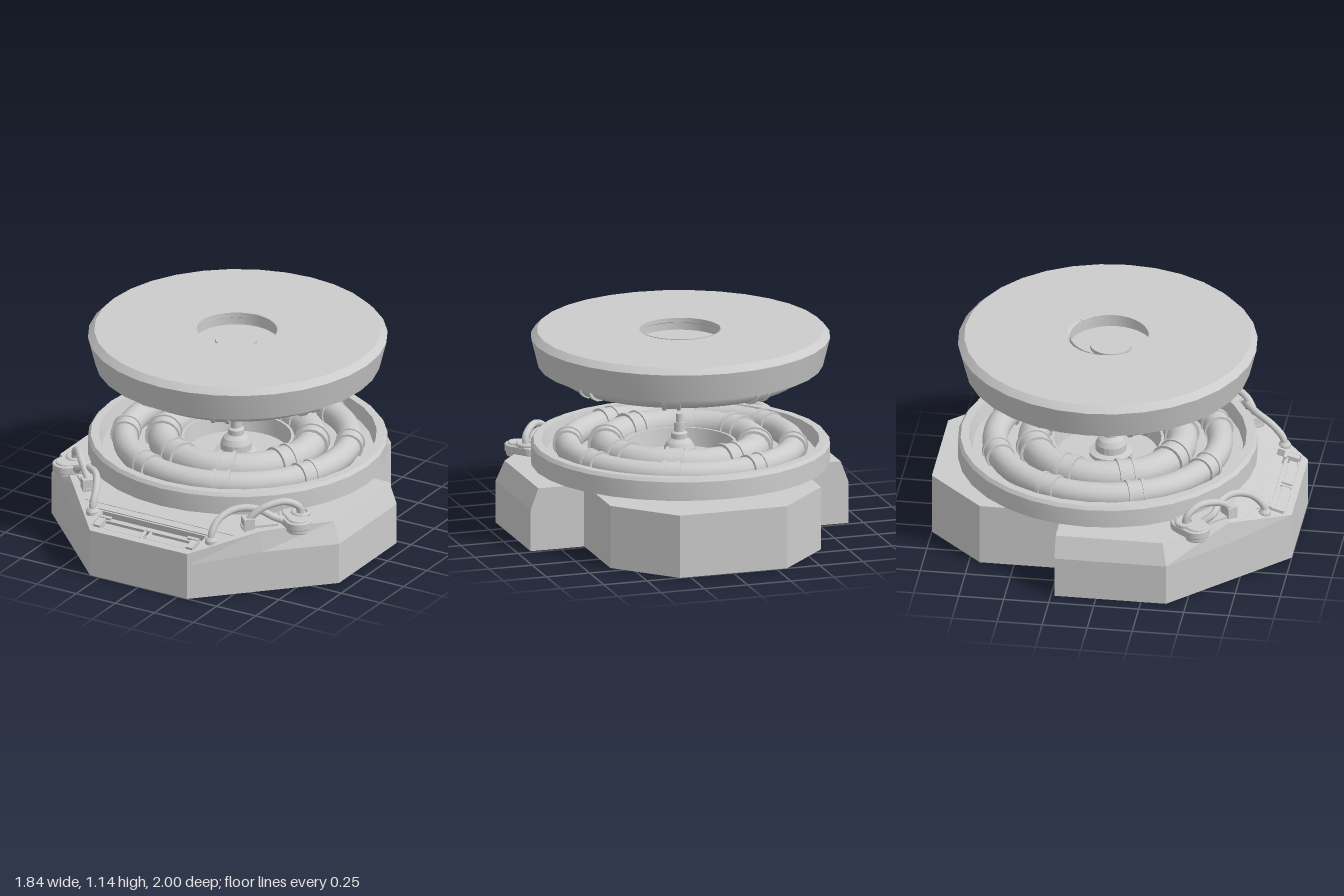
import * as THREE from 'three';
import { toCreasedNormals } from 'three/addons/utils/BufferGeometryUtils.js';

const mat = new THREE.MeshStandardMaterial({ color: 0xcccccc, side: THREE.DoubleSide });
const V = (x, y, z) => new THREE.Vector3(x, y, z);

function add(parent, name, geo, x = 0, y = 0, z = 0) {
  const m = new THREE.Mesh(geo, mat);
  m.name = name;
  m.position.set(x, y, z);
  parent.add(m);
  return m;
}
const group = (parent, name, x = 0, y = 0, z = 0) => {
  const g = new THREE.Group();
  g.name = name;
  g.position.set(x, y, z);
  parent.add(g);
  return g;
};
const lathe = (pts, seg = 32) => toCreasedNormals(
  new THREE.LatheGeometry(pts.map(p => new THREE.Vector2(p[0], p[1])), seg), 0.3);
const cyl = (r0, r1, h, seg = 24) => new THREE.CylinderGeometry(r0, r1, h, seg);
const box = (w, h, d) => new THREE.BoxGeometry(w, h, d);

// Stepped octagonal plinth: three mirrored cross-sections
function plinthGeometry() {
  // each row: outline x, z, bevel start height, top x, top z, top height
  const rows = [
    [0.31, 1, 0.2, 0.31, 1, 0.27], [0.61, 0.7, 0.235, 0.6, 0.69, 0.355],
    [0.92, 0.39, 0.235, 0.875, 0.365, 0.355], [0.92, -0.23, 0.235, 0.875, -0.23, 0.355],
    [0.61, -0.23, 0.235, 0.61, -0.23, 0.355], [0.61, -0.69, 0.235, 0.61, -0.69, 0.355],
    [0.31, -1, 0.235, 0.31, -1, 0.355]];
  const levels = [r => V(r[0], 0, r[1]), r => V(r[0], r[2], r[1]), r => V(r[3], r[5], r[4])];
  const flip = v => V(-v.x, v.y, v.z);
  const loops = levels.map(f => {
    const right = rows.map(f);
    return [...right, ...right.map(flip).reverse()];
  });
  const pos = [], n = loops[0].length;
  const quad = (a, b, c, d) => [a, b, c, a, c, d].forEach(v => pos.push(v.x, v.y, v.z));
  for (let k = 0; k < 2; k++)
    for (let i = 0; i < n; i++) {
      const j = (i + 1) % n;
      quad(loops[k][i], loops[k][j], loops[k + 1][j], loops[k + 1][i]);
    }
  for (let i = 0; i < rows.length - 1; i++) {
    const [b, t] = [loops[0], loops[2]];
    // the sloping front strip is left open for the control panel
    if (i > 0) quad(t[i], t[i + 1], t[n - 2 - i], t[n - 1 - i]);
    quad(b[n - 1 - i], b[n - 2 - i], b[i + 1], b[i]);
  }
  const g = new THREE.BufferGeometry();
  g.setAttribute('position', new THREE.Float32BufferAttribute(pos, 3));
  g.computeVertexNormals();
  return g;
}

// Sloping front panel with a recessed tray, in its own plane
function frontPanel(parent) {
  const p = group(parent, 'frontPanel', 0, 0.27, 1);
  p.rotation.x = -Math.atan2(0.31, 0.085);
  const s = new THREE.Shape([[-0.31, 0], [0.31, 0], [0.6, 0.321], [-0.6, 0.321]].map(a => new THREE.Vector2(...a)));
  s.holes.push(new THREE.Path([[-0.33, 0.04], [-0.33, 0.175], [0.33, 0.175], [0.33, 0.04]].map(a => new THREE.Vector2(...a))));
  add(p, 'panelPlate', new THREE.ExtrudeGeometry(s, { depth: 0.045, bevelEnabled: false }), 0, 0, -0.045);
  add(p, 'trayFloor', box(0.68, 0.15, 0.01), 0, 0.108, -0.045);
  add(p, 'trayRail', box(0.54, 0.018, 0.035), 0, 0.115, -0.018);
  add(p, 'panelStrip', box(0.72, 0.012, 0.008), 0, 0.19, 0.002);
  add(p, 'panelSeam', box(0.95, 0.006, 0.006), 0, 0.235, 0);
  for (const sx of [-1, 1]) {
    add(p, 'trayCover', box(0.25, 0.045, 0.03), sx * 0.135, 0.073, -0.024);
    add(p, 'trayBracket', box(0.04, 0.075, 0.045), sx * 0.295, 0.085, -0.015);
    add(p, 'bracketArm', box(0.07, 0.018, 0.045), sx * 0.28, 0.125, -0.01);
    add(p, 'trayKnob', cyl(0.01, 0.01, 0.06, 10), sx * 0.018, 0.075, -0.01);
  }
}

// Ring of pipe with eight evenly spaced flanged couplings
function pipeRing(parent, name, R, r, y) {
  const ring = group(parent, name, 0, y, 0);
  add(ring, 'pipe', new THREE.TorusGeometry(R, r, 16, 64).rotateX(Math.PI / 2));
  for (let i = 0; i < 8; i++) {
    const pivot = group(ring, 'coupling');
    pivot.rotation.y = (i + 0.5) * Math.PI / 4;
    const sleeve = group(pivot, 'sleeve', R, 0, 0);
    sleeve.rotation.x = Math.PI / 2;
    add(sleeve, 'collar', cyl(r * 1.07, r * 1.07, 0.085, 20));
    for (const s of [-1, 1]) add(sleeve, 'flange', cyl(r * 1.17, r * 1.17, 0.02, 20), 0, s * 0.04, 0);
  }
}

// Cable pod, socket and two looping hoses on the model's left
function cableSet(parent, name) {
  const g = group(parent, name);
  const pod = group(g, 'cablePod', 0.7, 0.335, 0.49);
  pod.rotation.y = Math.PI / 4;
  const stadium = r => {
    const s = new THREE.Shape();
    s.absarc(0, 0.03, r, 0, Math.PI);
    s.absarc(0, -0.06, r * 0.85, Math.PI, 2 * Math.PI);
    return s;
  };
  [[0.07, 0, 0.03], [0.082, 0.025, 0.035], [0.062, 0.055, 0.015]].forEach(([r, y, h]) => {
    const geo = new THREE.ExtrudeGeometry(stadium(r), { depth: h, bevelSize: 0.005, bevelThickness: 0.005, bevelSegments: 1, curveSegments: 14 });
    add(pod, 'podLayer', geo.rotateX(-Math.PI / 2), 0, y, 0);
  });
  add(g, 'podRing', new THREE.TorusGeometry(0.043, 0.014, 8, 24).rotateX(Math.PI / 2), 0.72, 0.408, 0.465);
  const socket = add(g, 'socketBox', box(0.06, 0.08, 0.075), 0.51, 0.375, 0.68);
  socket.rotation.y = Math.PI / 4;
  const plate = add(g, 'socketPlate', box(0.06, 0.02, 0.2), 0.55, 0.358, 0.63);
  plate.rotation.y = -Math.PI / 4;
  add(g, 'hoseFoot', lathe([[0.034, -0.02], [0.034, 0.015], [0.024, 0.03], [0, 0.03]], 16), 0.38, 0.305, 0.86);
  const hoses = [
    [V(0.72, 0.39, 0.465), V(0.715, 0.45, 0.48), V(0.66, 0.49, 0.54), V(0.59, 0.475, 0.62), V(0.535, 0.43, 0.665), V(0.51, 0.39, 0.685)],
    [V(0.66, 0.38, 0.55), V(0.625, 0.42, 0.61), V(0.54, 0.455, 0.635), V(0.45, 0.46, 0.70), V(0.395, 0.425, 0.79), V(0.38, 0.36, 0.85), V(0.38, 0.30, 0.86)]];
  hoses.forEach(pts => add(g, 'hose', new THREE.TubeGeometry(new THREE.CatmullRomCurve3(pts), 40, 0.02, 10)));
  return g;
}

export function createModel() {
  const model = new THREE.Group();
  model.name = 'pipeRingPlatform';

  add(model, 'plinth', plinthGeometry());
  frontPanel(model);
  cableSet(model, 'leftCables');
  cableSet(model, 'rightCables').scale.x = -1;

  // Lower dish with pipes and emitter
  const lower = group(model, 'lowerDish', 0, 0, -0.068);
  add(lower, 'dish', lathe([[0, 0.31], [0.47, 0.31], [0.51, 0.35], [0.67, 0.355], [0.825, 0.395],
    [0.825, 0.5], [0.81, 0.52], [0.765, 0.52], [0.745, 0.44], [0.31, 0.44], [0.31, 0.5], [0.295, 0.5],
    [0.28, 0.4], [0, 0.4]]));
  pipeRing(lower, 'outerLowerPipe', 0.62, 0.07, 0.485);
  pipeRing(lower, 'innerLowerPipe', 0.41, 0.085, 0.485);
  add(model, 'lowerEmitter', lathe([[0.12, 0.4], [0.12, 0.42], [0.085, 0.43], [0.085, 0.47], [0.07, 0.5],
    [0.045, 0.52], [0.045, 0.55], [0.03, 0.56], [0.03, 0.61], [0.02, 0.61], [0.02, 0.66], [0, 0.66]], 20), 0, 0, -0.05);

  // Upper disc, recessed on top and hollow beneath
  const upper = group(model, 'upperDisc', 0, 0, -0.068);
  add(upper, 'disc', lathe([[0, 1.03], [0.28, 1.03], [0.295, 0.94], [0.31, 0.94], [0.31, 1.0], [0.735, 1.0],
    [0.75, 0.95], [0.785, 0.95], [0.825, 1.11], [0.79, 1.145], [0.226, 1.145]]));
  pipeRing(upper, 'outerUpperPipe', 0.62, 0.075, 0.945);
  pipeRing(upper, 'innerUpperPipe', 0.41, 0.085, 0.945);
  add(upper, 'topRecess', lathe([[0.226, 1.145], [0.226, 1.115], [0.235, 1.11], [0.235, 1.07], [0.115, 1.07],
    [0.115, 1.09], [0, 1.09]]), 0, 0, 0.018);
  add(model, 'upperEmitter', lathe([[0, 0.72], [0.024, 0.72], [0.024, 0.78], [0.04, 0.78], [0.04, 0.86], [0.06, 0.88],
    [0.085, 0.91], [0.085, 0.97], [0.12, 0.98], [0.12, 1.03]], 20), 0, 0, -0.05);
  for (let i = 0; i < 4; i++) {
    const fin = group(model, 'emitterFin', 0, 0.81, -0.05);
    fin.rotation.y = i * Math.PI / 2 + Math.PI / 4;
    add(fin, 'fin', box(0.025, 0.09, 0.01), 0.04, 0.02, 0);
  }
  return model;
}
